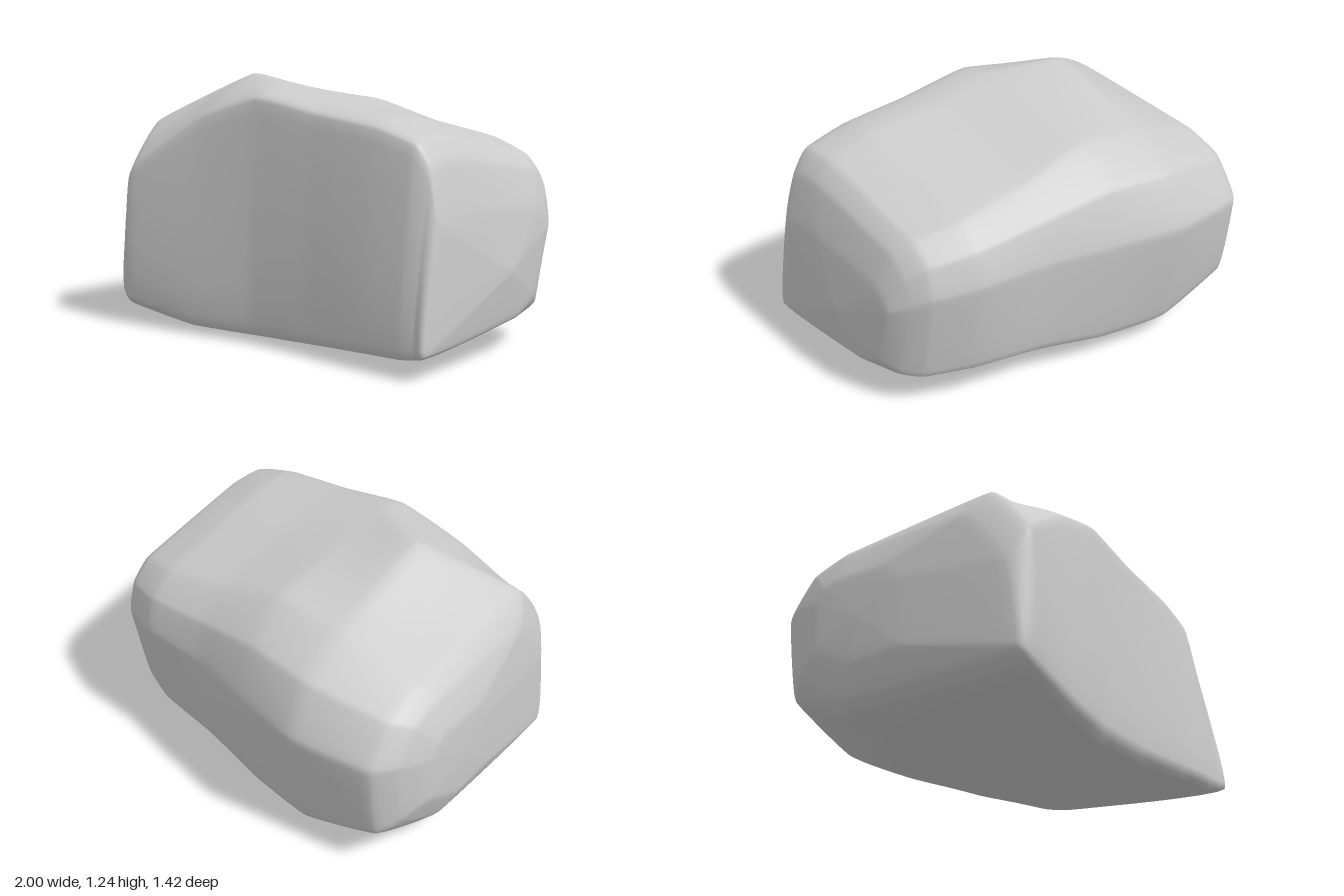
import * as THREE from 'three';

// Cross-sections along x: x, then seven z,y corners
// (front foot, front brow, top front, top back, back, back foot, underside)
const SECTIONS = [
  [-0.99, 0.12, 0.30, 0.10, 0.62, 0.00, 0.71, -0.25, 0.72, -0.37, 0.62, -0.37, 0.40, -0.15, 0.28],
  [-0.93, 0.65, 0.17, 0.60, 0.60, 0.38, 0.88, -0.25, 0.87, -0.55, 0.66, -0.50, 0.32, -0.20, 0.15],
  [-0.84, 0.69, 0.11, 0.69, 0.76, 0.48, 1.01, -0.30, 0.94, -0.65, 0.66, -0.59, 0.25, -0.25, 0.09],
  [-0.45, 0.66, 0.05, 0.61, 1.03, 0.22, 1.24, -0.36, 1.07, -0.71, 0.67, -0.60, 0.13, -0.32, 0.01],
  [-0.10, 0.62, 0.05, 0.58, 1.14, 0.36, 1.20, -0.34, 1.10, -0.64, 0.67, -0.55, 0.13, -0.25, 0.01],
  [0.25, 0.63, 0.06, 0.58, 1.09, 0.35, 1.14, -0.35, 1.01, -0.56, 0.67, -0.49, 0.18, -0.25, 0.05],
  [0.60, 0.67, 0.08, 0.59, 1.05, 0.35, 1.10, -0.35, 0.95, -0.53, 0.67, -0.44, 0.20, -0.20, 0.10],
  [0.82, 0.69, 0.09, 0.59, 0.99, 0.35, 1.02, -0.28, 0.89, -0.44, 0.64, -0.34, 0.19, -0.15, 0.13],
  [0.90, 0.69, 0.10, 0.58, 0.88, 0.35, 0.92, -0.22, 0.82, -0.36, 0.60, -0.26, 0.20, -0.08, 0.15],
  [0.96, 0.68, 0.13, 0.57, 0.65, 0.30, 0.70, -0.15, 0.66, -0.26, 0.55, -0.15, 0.26, 0.00, 0.18],
];
const AROUND = 64, ALONG = 66;

const spline = (points, closed, tension) => new THREE.CatmullRomCurve3(points, closed, 'catmullrom', tension);

// Closed outline of one section, with a rounded shoulder between top back and back
function outline([x, ...zy]) {
  const corners = [];
  for (let k = 0; k < zy.length; k += 2) corners.push(new THREE.Vector3(x, zy[k + 1], zy[k]));
  const [top, back] = [corners[3], corners[4]];
  const shoulder = top.clone().lerp(back, 0.5);
  shoulder.y += 0.16 * (top.z - back.z);
  shoulder.z -= 0.16 * (top.y - back.y);
  corners.splice(4, 0, shoulder);
  return spline(corners, true, 0.14);
}

function boulderGeometry() {
  const rings = SECTIONS.map(outline);
  const leftTip = new THREE.Vector3(1.0, 0.4, 0.1);
  const rightTip = new THREE.Vector3(-1.0, 0.5, -0.13);

  // Long splines run through matching points of every section, tip to tip
  const strands = [];
  for (let j = 0; j < AROUND; j++) {
    strands.push(spline([rightTip, ...rings.map((r) => r.getPoint(j / AROUND)), leftTip], false, 0.2));
  }

  const positions = [...rightTip.toArray()], index = [];
  for (let i = 1; i < ALONG; i++) {
    for (const s of strands) positions.push(...s.getPoint(i / ALONG).toArray());
  }
  positions.push(...leftTip.toArray());

  // Skin: a fan at each tip and quads between
  const at = (i, j) => 1 + (i - 1) * AROUND + (j % AROUND);
  const last = positions.length / 3 - 1;
  for (let j = 0; j < AROUND; j++) {
    index.push(0, at(1, j), at(1, j + 1));
    for (let i = 1; i < ALONG - 1; i++) {
      const a = at(i, j), b = at(i + 1, j), c = at(i + 1, j + 1), d = at(i, j + 1);
      index.push(a, b, d, b, c, d);
    }
    index.push(at(ALONG - 1, j), last, at(ALONG - 1, j + 1));
  }

  const geometry = new THREE.BufferGeometry();
  geometry.setAttribute('position', new THREE.Float32BufferAttribute(positions, 3));
  geometry.setIndex(index);
  geometry.computeVertexNormals();
  return geometry;
}

export function createModel() {
  const group = new THREE.Group();
  group.name = 'rock';
  const boulder = new THREE.Mesh(boulderGeometry(), new THREE.MeshStandardMaterial({ color: 0xcccccc }));
  boulder.name = 'boulder';
  group.add(boulder);
  return group;
}
